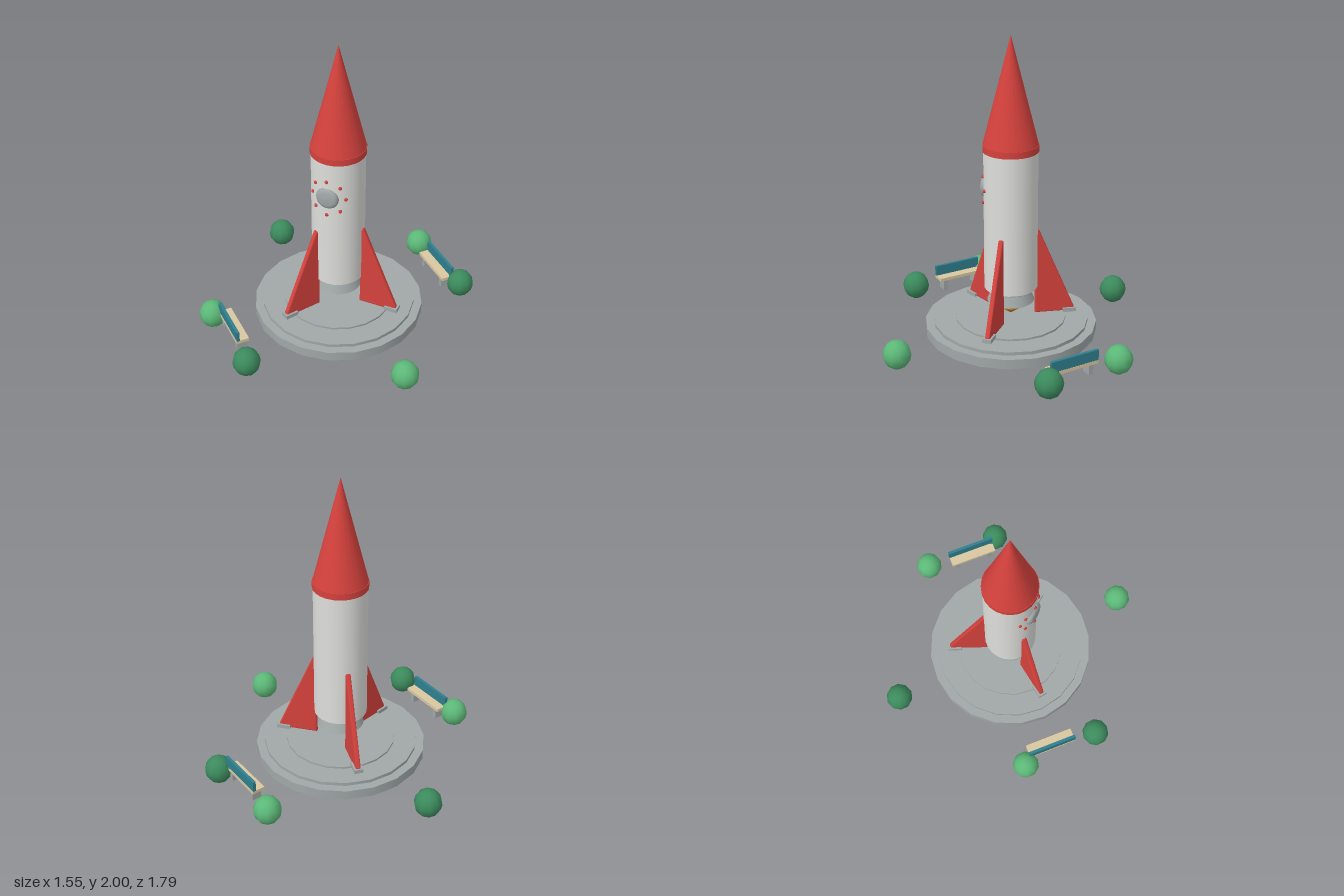
import * as THREE from 'three';

const mat = (name, color) => {
  const m = new THREE.MeshStandardMaterial({ color });
  m.name = name;
  return m;
};

export function createModel() {
  const white = mat('hull white', 0xdededb);
  const red = mat('red', 0xd6423d);
  const grey = mat('metal grey', 0xa0a8a7);
  const orange = mat('flame orange', 0xd08a2c);
  const darkGreen = mat('dark green', 0x3c8a5d);
  const lightGreen = mat('light green', 0x5cb878);
  const teal = mat('teal', 0x2f7f8e);
  const tan = mat('tan', 0xd9c7a0);

  const model = new THREE.Group();
  model.name = 'rocketOnPad';
  const add = (parent, name, geometry, material, x = 0, y = 0, z = 0) => {
    const mesh = new THREE.Mesh(geometry, material);
    mesh.name = name;
    mesh.position.set(x, y, z);
    parent.add(mesh);
    return mesh;
  };
  // Upright cylinder or frustum between two heights
  const drum = (name, rTop, rBottom, y0, y1, material, sides = 24) =>
    add(model, name, new THREE.CylinderGeometry(rTop, rBottom, y1 - y0, sides), material, 0, (y0 + y1) / 2, 0);

  // Stepped launch pad
  drum('padBase', 0.56, 0.56, 0.04, 0.105, grey, 20);
  drum('padStep', 0.505, 0.505, 0.1, 0.127, grey, 20);
  drum('padCentre', 0.36, 0.36, 0.12, 0.14, grey, 20);

  // Rocket body, engine and nose
  drum('hull', 0.173, 0.173, 0.345, 1.275, white);
  drum('engineRing', 0.137, 0.137, 0.322, 0.35, grey);
  drum('nozzle', 0.122, 0.153, 0.25, 0.325, grey);
  drum('flameTop', 0.085, 0.078, 0.205, 0.252, orange, 16);
  drum('flameTip', 0.078, 0, 0.148, 0.205, orange, 16);
  drum('noseCollar', 0.178, 0.178, 1.27, 1.313, red);
  drum('noseCone', 0, 0.175, 1.313, 2, red);

  // Domed porthole
  const dome = [[0.075, 0.13], [0.075, 0.168], [0.066, 0.182], [0.045, 0.189], [0, 0.191]]
    .map(([r, y]) => new THREE.Vector2(r, y));
  add(model, 'porthole', new THREE.LatheGeometry(dome, 20), grey, 0, 1.02, 0).rotation.x = Math.PI / 2;

  // Rivets wrapped around the hull
  const rivet = new THREE.SphereGeometry(0.012, 8, 6);
  for (let i = 0; i < 8; i++) {
    const a = (i * Math.PI) / 4;
    const wrap = (0.122 * Math.cos(a)) / 0.173;
    add(model, 'rivet', rivet, red,
      0.174 * Math.sin(wrap), 1.02 + 0.122 * Math.sin(a), 0.174 * Math.cos(wrap));
  }

  // Three bevelled fins, each with a foot
  const outline = new THREE.Shape([[0.168, 0.148], [0.412, 0.148], [0.412, 0.165], [0.176, 0.722], [0.168, 0.722]]
    .map(([x, y]) => new THREE.Vector2(x, y)));
  const finGeometry = new THREE.ExtrudeGeometry(outline, {
    depth: 0.016, bevelEnabled: true, bevelThickness: 0.008, bevelSize: 0.008, bevelSegments: 2,
  });
  finGeometry.translate(0, 0, -0.008);
  const footGeometry = new THREE.BoxGeometry(0.09, 0.026, 0.06);
  for (let i = 0; i < 3; i++) {
    const finGroup = new THREE.Group();
    finGroup.name = 'finAssembly';
    finGroup.rotation.y = (i * Math.PI * 2) / 3;
    add(finGroup, 'fin', finGeometry, red);
    add(finGroup, 'finFoot', footGeometry, grey, 0.388, 0.149, 0);
    model.add(finGroup);
  }

  // Two benches on opposite sides, facing the pad
  for (const turn of [0, Math.PI]) {
    const bench = new THREE.Group();
    bench.name = 'bench';
    bench.rotation.y = turn - (40 * Math.PI) / 180;
    add(bench, 'benchSeat', new THREE.BoxGeometry(0.328, 0.022, 0.086), tan, 0, 0.124, 0.751);
    add(bench, 'benchBack', new THREE.BoxGeometry(0.332, 0.07, 0.02), teal, 0, 0.17, 0.782);
    for (const side of [-1, 1]) {
      add(bench, 'benchLeg', new THREE.BoxGeometry(0.03, 0.075, 0.065), grey, side * 0.12, 0.0775, 0.75);
    }
    model.add(bench);
  }

  // Round bushes
  const bushGeometry = new THREE.SphereGeometry(0.09, 10, 8);
  bushGeometry.scale(1, 1.05, 1);
  const bushes = [
    [-0.687, -0.5, darkGreen], [0.687, -0.5, darkGreen], [-0.262, 0.808, darkGreen],
    [-0.687, 0.495, lightGreen], [0.687, 0.495, lightGreen], [0.262, -0.808, lightGreen],
  ];
  for (const [x, z, material] of bushes) add(model, 'bush', bushGeometry, material, x, 0.095, z);

  return model;
}
